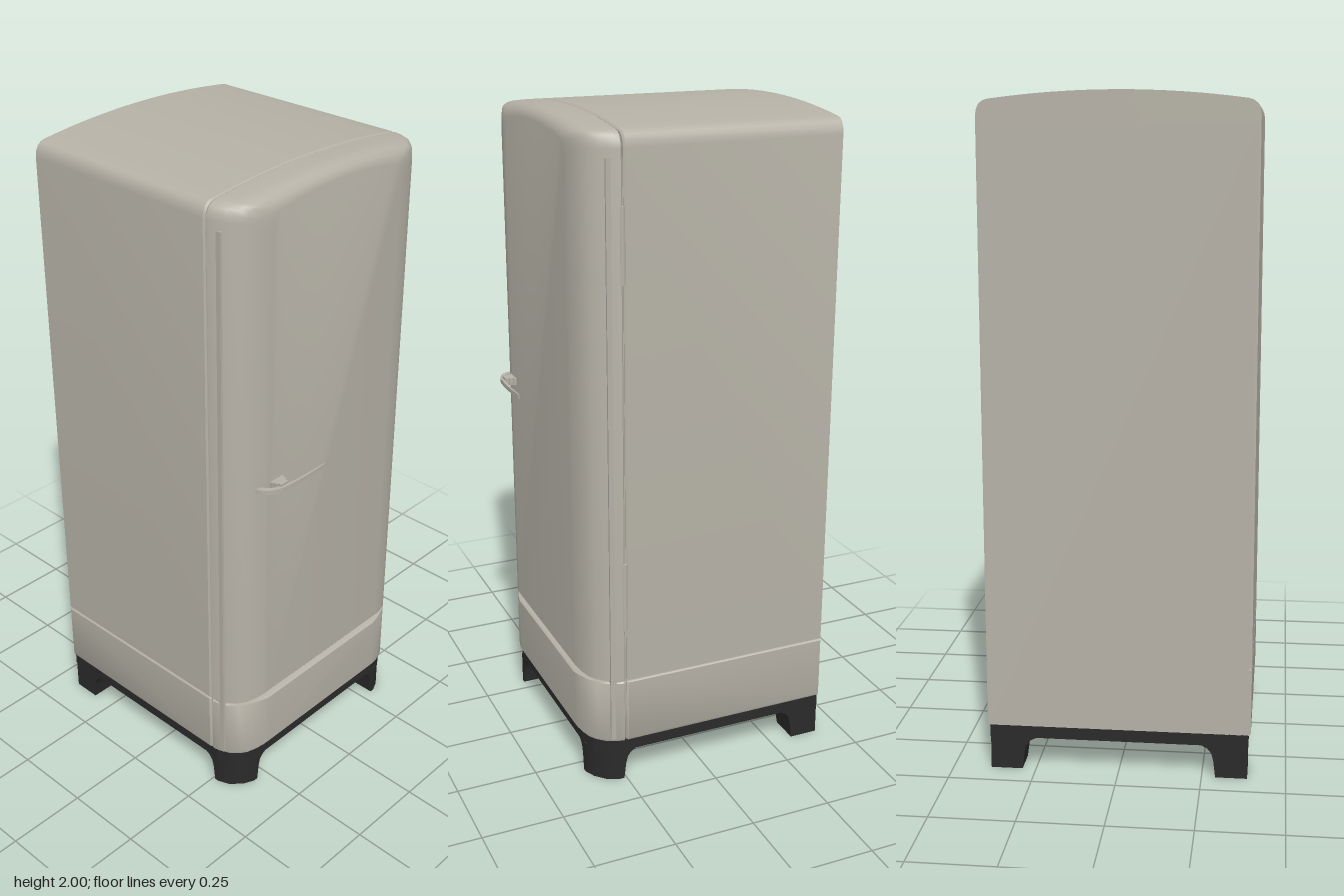
import * as THREE from 'three';
import { toCreasedNormals } from 'three/addons/utils/BufferGeometryUtils.js';

const enamel = new THREE.MeshStandardMaterial({ name: 'warm grey enamel', color: 0xb5b1a6 });
const rubber = new THREE.MeshStandardMaterial({ name: 'black base', color: 0x2a2a2a });

// Skin a stack of equal, convex rings and close both ends.
function loft(rings, crease = 0.6) {
  const n = rings[0].length, index = [];
  for (let k = 0; k < rings.length - 1; k++) {
    for (let i = 0; i < n; i++) {
      const a = k * n + i, b = k * n + (i + 1) % n;
      index.push(a, b, b + n, a, b + n, a + n);
    }
  }
  const last = (rings.length - 1) * n;
  for (let i = 1; i < n - 1; i++) {
    index.push(0, i + 1, i, last, last + i, last + i + 1);
  }
  const g = new THREE.BufferGeometry();
  g.setAttribute('position', new THREE.Float32BufferAttribute(rings.flat(2), 3));
  g.setIndex(index);
  return toCreasedNormals(g, crease);
}

function add(group, name, geometry, material) {
  const mesh = new THREE.Mesh(geometry, material);
  mesh.name = name;
  group.add(mesh);
  return mesh;
}

// Front outline with a shallow arched top and rounded shoulders.
function archRing(z, w, drop = 0) {
  const bottom = 0.347 + drop * 0.4;
  const right = [[1, 1.93], [0.993, 1.948], [0.975, 1.963], [0.945, 1.972], [0.91, 1.976]];
  const arch = [];
  for (let i = 1; i < 16; i++) {
    const u = 0.91 * (1 - i / 8);
    arch.push([u, 2 - 0.024 * (u / 0.91) ** 2]);
  }
  const left = right.map(([u, y]) => [-u, y]).reverse();
  const pts = [...right, ...arch, ...left].map(([u, y]) => [u * w, y - drop, z]);
  return [[-w, bottom, z], [w, bottom, z], ...pts];
}

// Rectangular outline for the panel below the door.
function panelRing(z, w, drop = 0) {
  const y0 = 0.137 + drop * 0.35, y1 = 0.34 - drop * 0.25;
  return [
    [-w + 0.004, y0, z], [w - 0.004, y0, z], [w, y0 + 0.008, z], [w, y1 - 0.004, z],
    [w - 0.003, y1, z], [-w + 0.003, y1, z], [-w, y1 - 0.004, z], [-w, y0 + 0.008, z],
  ];
}

// Depth, half width and edge rounding of the bowed front.
const bow = [
  [0.254, 0.39, 0.005], [0.259, 0.395, 0], [0.278, 0.391, 0], [0.312, 0.376, 0],
  [0.335, 0.356, 0.002], [0.35, 0.337, 0.007], [0.362, 0.305, 0.016],
  [0.368, 0.28, 0.026], [0.371, 0.262, 0.036],
];
const carcass = [[-0.415, 0.395, 0], [0.246, 0.395, 0], [0.251, 0.391, 0.004]];

// Foot with a chamfered front corner, flaring into the base.
function foot(sx, front) {
  const outer = front
    ? [[0.305, 0.355], [0.338, 0.34], [0.372, 0.308], [0.386, 0.272]]
    : [[0.386, 0.415]];
  const zi = front ? 0.252 : 0.32, zo = front ? 0.355 : 0.415;
  const sz = front ? 1 : -1;
  const levels = [[0, 0.006], [0.05, 0], [0.075, -0.006], [0.09, -0.018], [0.102, -0.04]];
  return loft(levels.map(([y, f]) => {
    const xi = 0.285 + f, z = zi + f;
    const ring = [[xi, z], [xi, zo], ...outer, [0.386, z]]
      .map(([x, zz]) => [sx * x, y, sz * zz]);
    return sx * sz < 0 ? ring.reverse() : ring;
  }));
}

export function createModel() {
  const group = new THREE.Group();

  // Cabinet: arched upper body, lower body and a core behind the seams.
  add(group, 'upperCabinet', loft(carcass.map(r => archRing(...r))), enamel);
  add(group, 'lowerCabinet', loft(carcass.map(r => panelRing(...r))), enamel);
  const core = add(group, 'cabinetCore', new THREE.BoxGeometry(0.776, 1.76, 0.7155), enamel);
  core.position.set(0, 1.025, -0.0578);

  // Bowed door and matching plinth panel.
  add(group, 'door', loft(bow.map(r => archRing(...r))), enamel);
  add(group, 'lowerPanel', loft(bow.map(r => panelRing(...r))), enamel);

  // Hinges on the model's left side.
  for (const y of [0.62, 1.668]) {
    const hinge = add(group, 'hinge', new THREE.CylinderGeometry(0.01, 0.01, 0.215, 12), enamel);
    hinge.position.set(0.388, y, 0.255);
  }

  // Curved, tapering pull handle.
  const blade = new THREE.Shape();
  blade.moveTo(-0.313, -0.358);
  blade.quadraticCurveTo(-0.305, -0.4, -0.25, -0.411);
  blade.quadraticCurveTo(-0.17, -0.419, -0.075, -0.411);
  blade.lineTo(-0.075, -0.407);
  blade.quadraticCurveTo(-0.2, -0.412, -0.25, -0.399);
  blade.quadraticCurveTo(-0.29, -0.388, -0.295, -0.358);
  const bladeGeo = new THREE.ExtrudeGeometry(blade, { depth: 0.014, bevelEnabled: false, curveSegments: 10 });
  // The outline runs in plan, so stand it up along y.
  bladeGeo.rotateX(-Math.PI / 2);
  add(group, 'handle', bladeGeo, enamel).position.y = 1.112;

  // Stepped latch button behind the handle.
  [[0.052, 0.372], [0.042, 0.384], [0.03, 0.396]].forEach(([w, z]) => {
    const step = add(group, 'latch', new THREE.BoxGeometry(w, 0.022, 0.016), enamel);
    step.position.set(-0.239, 1.122, z);
  });

  // Base slab and four feet.
  const plan = new THREE.Shape();
  const side = [[0.388, 0.415], [0.388, -0.272], [0.373, -0.308], [0.338, -0.342], [0.28, -0.357]];
  plan.setFromPoints([...side, ...side.map(([x, y]) => [-x, y]).reverse()]
    .map(([x, y]) => new THREE.Vector2(x, y)));
  const slab = new THREE.ExtrudeGeometry(plan, { depth: 0.038, bevelEnabled: false });
  slab.rotateX(-Math.PI / 2);
  add(group, 'baseSlab', slab, rubber).position.y = 0.1;
  for (const sx of [1, -1]) {
    add(group, 'frontFoot', foot(sx, true), rubber);
    add(group, 'backFoot', foot(sx, false), rubber);
  }
  return group;
}
